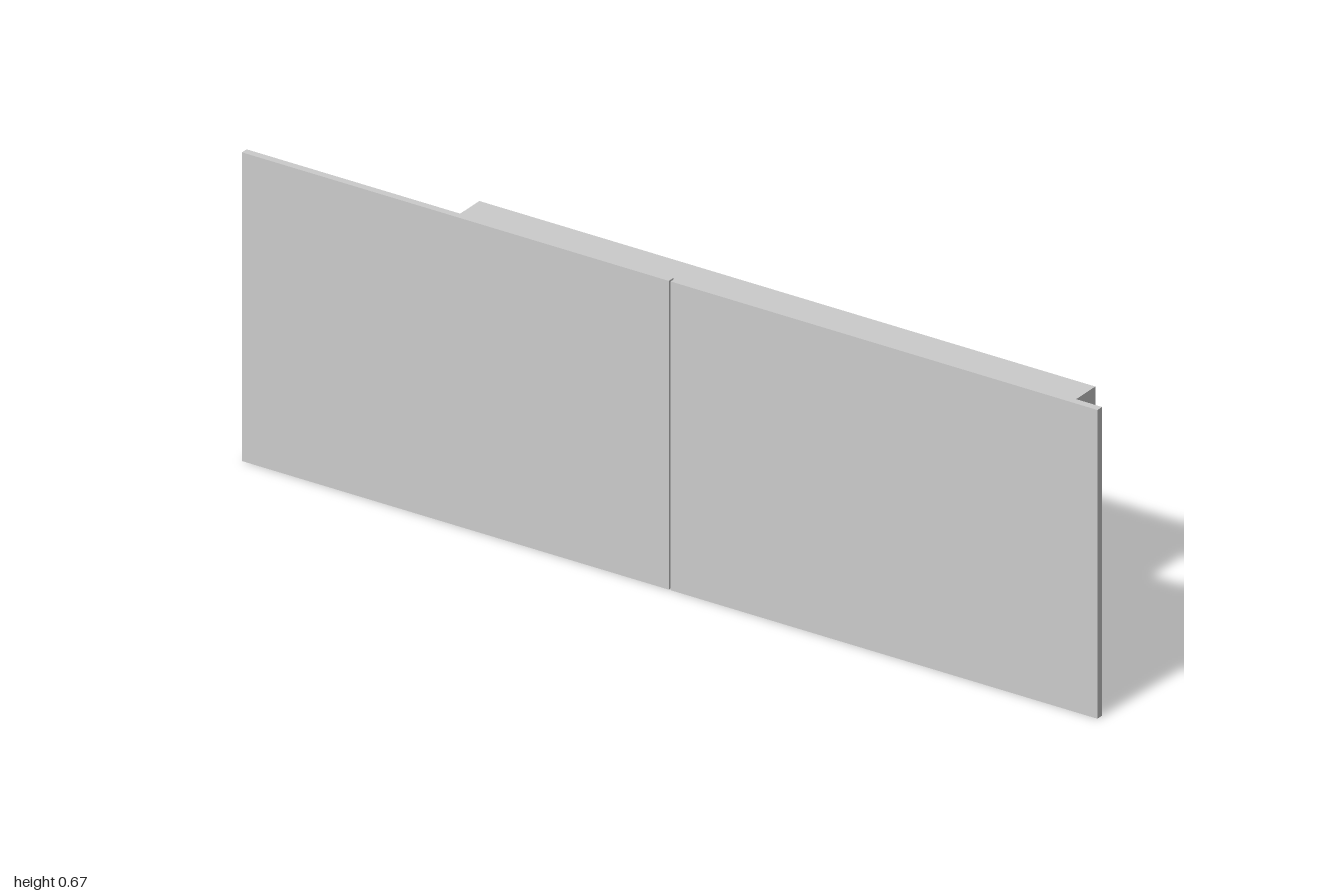
import * as THREE from 'three';

const material = new THREE.MeshStandardMaterial({ color: 0xcccccc });

// Box given by its minimum and maximum corners
function board(name, [x0, y0, z0], [x1, y1, z1]) {
  const mesh = new THREE.Mesh(new THREE.BoxGeometry(x1 - x0, y1 - y0, z1 - z0), material);
  mesh.name = name;
  mesh.position.set((x0 + x1) / 2, (y0 + y1) / 2, (z0 + z1) / 2);
  return mesh;
}

export function createModel() {
  const model = new THREE.Group();
  model.name = 'drawerPair';

  const t = 0.008; // board thickness of the boxes
  const gap = 0.002; // half the slit between the two fronts
  const boxW = 0.72, bottom = 0.196, top = 0.473;
  const back = -0.203, joint = 0.187, front = 0.203;

  for (const [side, s] of [['left', 1], ['right', -1]]) {
    const unit = new THREE.Group();
    unit.name = side + 'Unit';
    // Board between two distances from the middle, mirrored by s
    const add = (name, a, b, y0, y1, z0, z1) =>
      unit.add(board(side + name, [Math.min(a * s, b * s), y0, z0], [Math.max(a * s, b * s), y1, z1]));

    // Large front panel
    add('FrontPanel', gap, 1, 0, 0.667, joint, front);

    // Box behind it, open at the back
    add('BottomBoard', 0, boxW, bottom, bottom + t, back, joint);
    add('TopBoard', t, boxW - t, top - t, top, back, joint);
    add('InnerWall', 0, t, bottom + t, top, back, joint);
    add('OuterWall', boxW - t, boxW, bottom + t, top, back, joint);
    model.add(unit);
  }
  return model;
}
